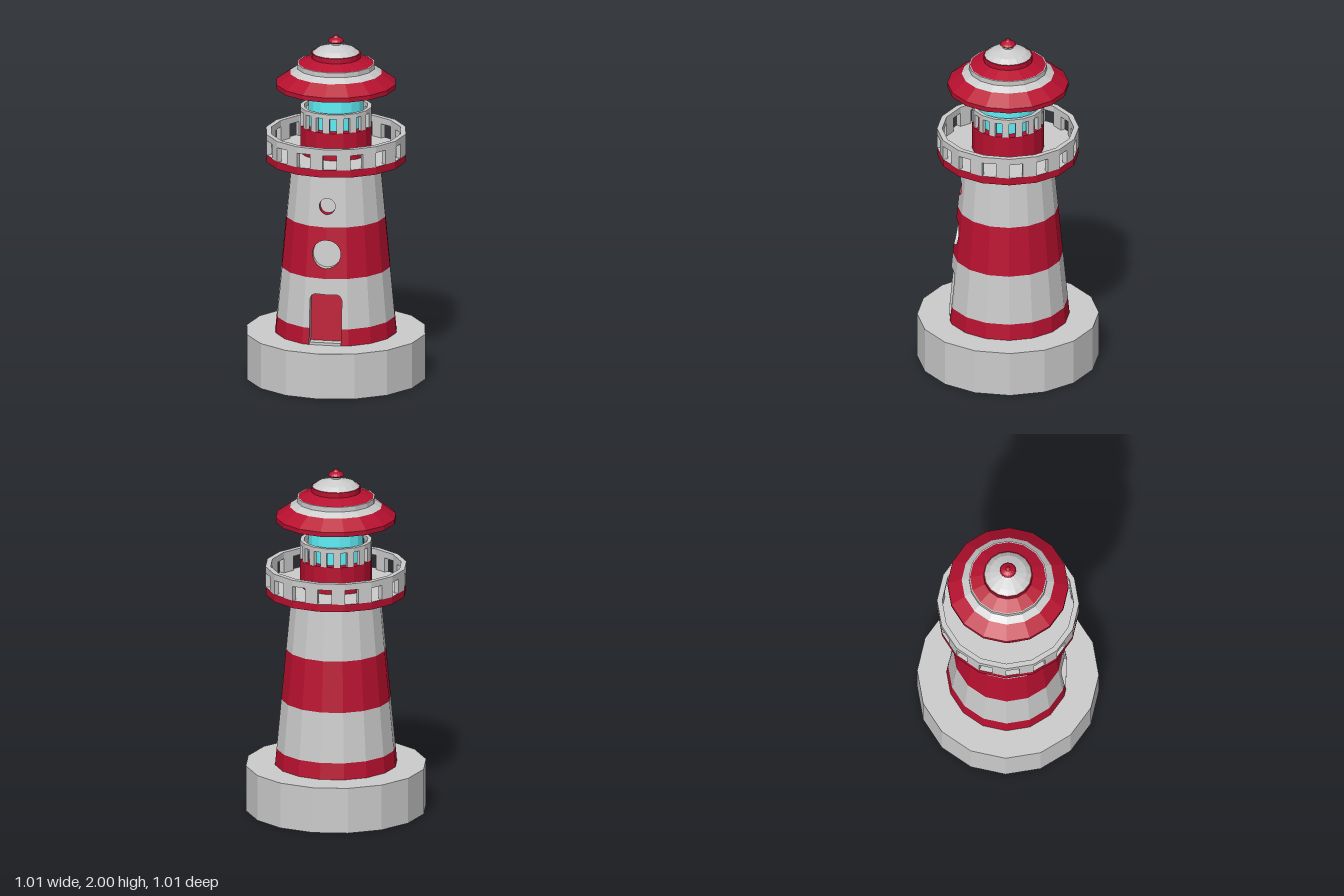
import * as THREE from 'three';

const SIDES = 16, STEP = Math.PI * 2 / SIDES;
const TURN = THREE.MathUtils.degToRad(9.2);   // rotation of the facets
const DOOR = TURN + STEP;                     // direction the door and windows face
const GREY = 0xcccccc, RED = 0xb8102f, CYAN = 0x5ff0f8;

const mat = (color) => new THREE.MeshStandardMaterial({ color, flatShading: true, side: THREE.DoubleSide });
const mats = { [GREY]: mat(GREY), [RED]: mat(RED), [CYAN]: mat(CYAN) };
const vec = ([x, y]) => new THREE.Vector2(x, y);

// Radius of the tapering tower wall at height y
const wallRadius = (y) => 0.348 - 0.094 * (y - 0.265) / 1.01;

export function createModel() {
  const group = new THREE.Group();

  const add = (name, geometry, color) => {
    const mesh = new THREE.Mesh(geometry, mats[color]);
    mesh.name = name;
    group.add(mesh);
    return mesh;
  };
  const lathe = (name, color, profile, start = TURN, sides = SIDES) =>
    add(name, new THREE.LatheGeometry(profile.map(vec), sides, start, sides * STEP), color);

  // Plinth
  lathe('plinth', GREY, [[0, 0], [0.514, 0], [0.514, 0.265], [0, 0.265]]);

  // Half outlines of the openings, from top centre down
  const round = (cy, r) => Array.from({ length: 13 }, (_, i) => {
    const a = i / 12 * Math.PI;
    return [i % 12 ? r * Math.sin(a) : 0, cy + r * Math.cos(a)];
  });
  const bigWindow = round(0.79, 0.081), smallWindow = round(1.065, 0.046);
  const doorTop = [[0, 0.56], [0.062, 0.56], [0.083, 0.548], [0.092, 0.525], [0.092, 0.36]];
  const doorFoot = [[0.092, 0.36], [0.092, 0.265]];

  // Places a flat shape on the wall; fold follows the corner between two facets
  const onWall = (points, depth, fold) => {
    const g = new THREE.ShapeGeometry(new THREE.Shape(points.map(vec)));
    const p = g.attributes.position;
    for (let i = 0; i < p.count; i++)
      p.setZ(i, wallRadius(p.getY(i)) - depth - fold * Math.abs(p.getX(i)));
    g.computeVertexNormals();
    return g.rotateY(DOOR);
  };
  const FOLD = Math.tan(STEP / 2);

  // Tower bands: plain facets, plus two facets cut by the openings
  const bands = [
    ['lowerRedBand', RED, 0.265, 0.36, doorFoot],
    ['lowerGreyBand', GREY, 0.36, 0.65, [[0, 0.65], ...doorTop]],
    ['middleRedBand', RED, 0.65, 0.945, [[0, 0.945], ...bigWindow, [0, 0.65]]],
    ['upperGreyBand', GREY, 0.945, 1.275, [[0, 1.275], ...smallWindow, [0, 0.945]]],
  ];
  for (const [name, color, y0, y1, cut] of bands) {
    lathe(name, color, [[wallRadius(y0), y0], [wallRadius(y1), y1]], DOOR + STEP, SIDES - 2);
    const edge = [y0, y1].map((y) => [wallRadius(y) * Math.sin(STEP), y]);
    for (const s of [1, -1])
      add(name + 'Front', onWall([...cut, ...edge].map(([x, y]) => [s * x, y]), 0, FOLD), color);
  }

  // Recesses: lining around the opening and a panel at the back
  const recess = (name, half, depth, liningColor, panelColor) => {
    const outline = [...half, ...half.filter(([x]) => x > 0).reverse().map(([x, y]) => [-x, y])];
    const pos = [], index = [], n = outline.length;
    outline.forEach(([x, y], i) => {
      const r = wallRadius(y), a = 2 * i, b = 2 * ((i + 1) % n);
      pos.push(x, y, r - FOLD * Math.abs(x), x, y, r - depth);
      index.push(a, a + 1, b, b, a + 1, b + 1);
    });
    const g = new THREE.BufferGeometry();
    g.setAttribute('position', new THREE.Float32BufferAttribute(pos, 3));
    g.setIndex(index);
    g.computeVertexNormals();
    add(name + 'Lining', g.rotateY(DOOR), liningColor);
    add(name + 'Panel', onWall(outline, depth, 0), panelColor);
  };
  recess('door', [...doorTop, doorFoot[1]], 0.065, GREY, RED);
  recess('bigWindow', bigWindow, 0.04, GREY, GREY);
  recess('smallWindow', smallWindow, 0.045, RED, GREY);

  // Door sill
  add('doorSill', new THREE.BoxGeometry(0.18, 0.015, 0.06).translate(0, 0.2725, 0.3).rotateY(DOOR), GREY);

  // Gallery deck: grey faces with a red rim
  lathe('galleryUnderside', GREY, [[0.2, 1.272], [0.4, 1.272]]);
  lathe('galleryRim', RED, [[0.4, 1.272], [0.4, 1.316]]);
  lathe('galleryFloor', GREY, [[0.4, 1.316], [0.15, 1.316]]);

  // Railing: one post on half of each facet, closed by a top rail
  const railing = (name, inner, outer, y0, yRail, y1) => {
    lathe(name + 'TopRail', GREY, [[outer, yRail], [outer, y1], [inner, y1], [inner, yRail], [outer, yRail]]);
    const mid = Math.cos(STEP / 2);
    for (let i = 0; i < SIDES; i++) {
      const end = TURN + (i + 1) * STEP, start = end - STEP / 2;
      const corners = [[outer * mid, start], [outer, end], [inner, end], [inner * mid, start]]
        .map(([r, a]) => vec([r * Math.sin(a), -r * Math.cos(a)]));
      const post = new THREE.ExtrudeGeometry(new THREE.Shape(corners), { depth: yRail - y0, bevelEnabled: false });
      add(name + 'Post', post.rotateX(-Math.PI / 2).translate(0, y0, 0), GREY);
    }
  };
  railing('gallery', 0.372, 0.402, 1.316, 1.4, 1.437);

  // Lantern room
  lathe('lanternDrum', RED, [[0.204, 1.316], [0.204, 1.475], [0, 1.475]]);
  railing('lantern', 0.182, 0.204, 1.475, 1.56, 1.585);
  lathe('lanternGlass', CYAN, [[0.158, 1.475], [0.158, 1.7]]);

  // Stepped roof
  lathe('roofUnderside', GREY, [[0, 1.698], [0.343, 1.698]]);
  lathe('roofEaves', RED, [[0.343, 1.698], [0.343, 1.725], [0.262, 1.783]]);
  lathe('roofLowerGrey', GREY, [[0.262, 1.783], [0.222, 1.81], [0.222, 1.838], [0.212, 1.838]]);
  lathe('roofUpperRed', RED, [[0.215, 1.838], [0.14, 1.868], [0.14, 1.898], [0.132, 1.898]]);
  lathe('roofCap', GREY, [[0.134, 1.898], [0.105, 1.92], [0.05, 1.937], [0.03, 1.945], [0.03, 1.956]]);
  lathe('finial', RED, [[0.028, 1.952], [0.046, 1.964], [0.038, 1.976], [0.018, 1.986], [0.012, 1.995], [0, 2]]);

  return group;
}
